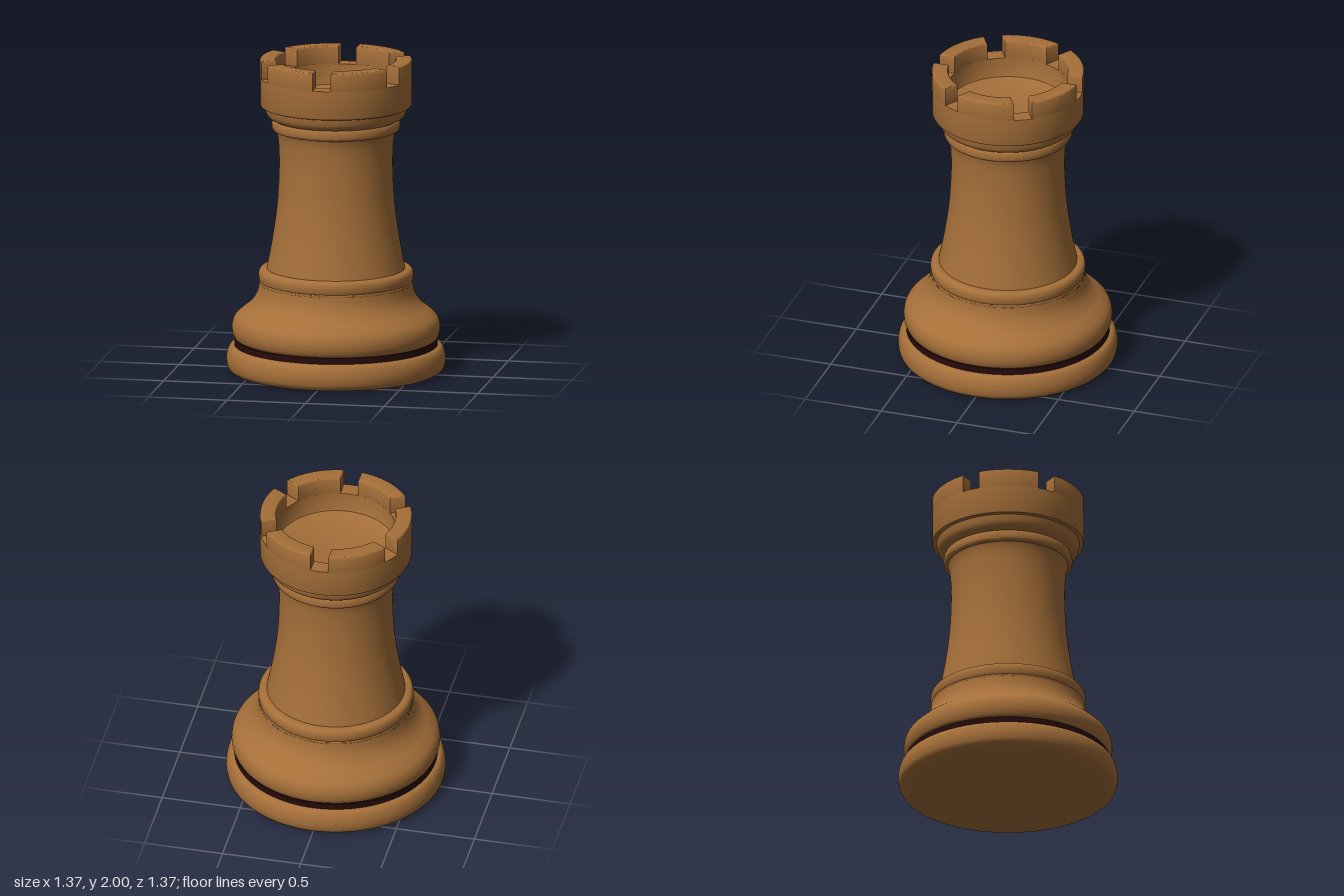
import * as THREE from 'three';
import { toCreasedNormals } from 'three/addons/utils/BufferGeometryUtils.js';

const SIDES = 96;
const wood = new THREE.MeshStandardMaterial({ color: 0xa56f39 });
wood.name = 'wood';
const darkBand = new THREE.MeshStandardMaterial({ color: 0x260a0a });
darkBand.name = 'dark band';

// Turned part from [radius, height] points, listed counterclockwise around the solid
function turned(name, points, material = wood, samples = 0) {
  let profile = points.map(([r, y]) => new THREE.Vector2(r, y));
  if (samples) profile = new THREE.SplineCurve(profile).getPoints(samples);
  const geometry = toCreasedNormals(new THREE.LatheGeometry(profile, SIDES), 0.7);
  const mesh = new THREE.Mesh(geometry, material);
  mesh.name = name;
  return mesh;
}

// Battlement between two parallel-sided notches
function battlement(centre) {
  const outer = 0.475, inner = 0.375, notch = 0.056, bevel = 0.01, base = 1.885;
  const half = (r) => Math.PI / 6 - Math.asin((notch + bevel) / r);
  const ro = outer - bevel, ri = inner + bevel;
  const shape = new THREE.Shape();
  shape.absarc(0, 0, ro, centre - half(ro), centre + half(ro), false);
  shape.absarc(0, 0, ri, centre + half(ri), centre - half(ri), true);
  shape.closePath();
  const geometry = new THREE.ExtrudeGeometry(shape, {
    depth: 2 - bevel - base, curveSegments: 16,
    bevelEnabled: true, bevelSize: bevel, bevelThickness: bevel, bevelSegments: 3,
  });
  geometry.rotateX(-Math.PI / 2);
  geometry.translate(0, base, 0);
  const mesh = new THREE.Mesh(toCreasedNormals(geometry, 0.6), wood);
  mesh.name = 'battlement';
  return mesh;
}

export function createModel() {
  const rook = new THREE.Group();
  rook.name = 'rook';

  // Base: foot disc, inlaid band and bell-shaped bulge
  rook.add(turned('underside', [[0, 0.004], [0.6, 0.004]]));
  rook.add(turned('foot', [
    [0.6, 0.004], [0.645, 0.012], [0.675, 0.035], [0.686, 0.075], [0.684, 0.115],
    [0.672, 0.153], [0.65, 0.175], [0.6, 0.182],
  ], wood, 40));
  rook.add(turned('inlaidBand', [[0.6, 0.178], [0.635, 0.178], [0.635, 0.217], [0.6, 0.217]], darkBand));
  rook.add(turned('bulge', [
    [0.61, 0.213], [0.635, 0.226], [0.65, 0.265], [0.65, 0.31], [0.634, 0.352],
    [0.594, 0.392], [0.546, 0.43], [0.51, 0.475], [0.49, 0.52], [0.481, 0.57],
  ], wood, 50));

  // Collar: a thin bead under a rounded ring
  rook.add(turned('collarBead', [[0.46, 0.565], [0.478, 0.567], [0.482, 0.58], [0.476, 0.588], [0.46, 0.592]], wood, 16));
  rook.add(turned('collarRing', [
    [0.46, 0.583], [0.478, 0.587], [0.484, 0.61], [0.484, 0.635], [0.475, 0.657], [0.455, 0.667], [0.42, 0.667],
  ], wood, 30));

  // Waisted stem
  rook.add(turned('stem', [
    [0.435, 0.655], [0.407, 0.8], [0.384, 0.94], [0.367, 1.08], [0.358, 1.22],
    [0.355, 1.36], [0.36, 1.47], [0.37, 1.53], [0.385, 1.565],
  ], wood, 40));

  // Neck mouldings
  rook.add(turned('neckRing', [
    [0.365, 1.547], [0.392, 1.55], [0.401, 1.565], [0.402, 1.59], [0.396, 1.612], [0.38, 1.622],
  ], wood, 24));
  rook.add(turned('neckFlare', [
    [0.38, 1.612], [0.402, 1.622], [0.422, 1.634], [0.436, 1.654], [0.444, 1.682], [0.448, 1.705],
  ], wood, 24));

  // Hollow crown, its wall running up to the bottom of the notches
  rook.add(turned('crown', [
    [0.43, 1.7], [0.462, 1.7], [0.471, 1.704], [0.475, 1.714], [0.475, 1.885], [0.375, 1.885],
    [0.375, 1.765], [0.371, 1.755], [0.361, 1.75], [0, 1.75],
  ]));
  for (let i = 0; i < 6; i++) rook.add(battlement(i * Math.PI / 3));

  return rook;
}
